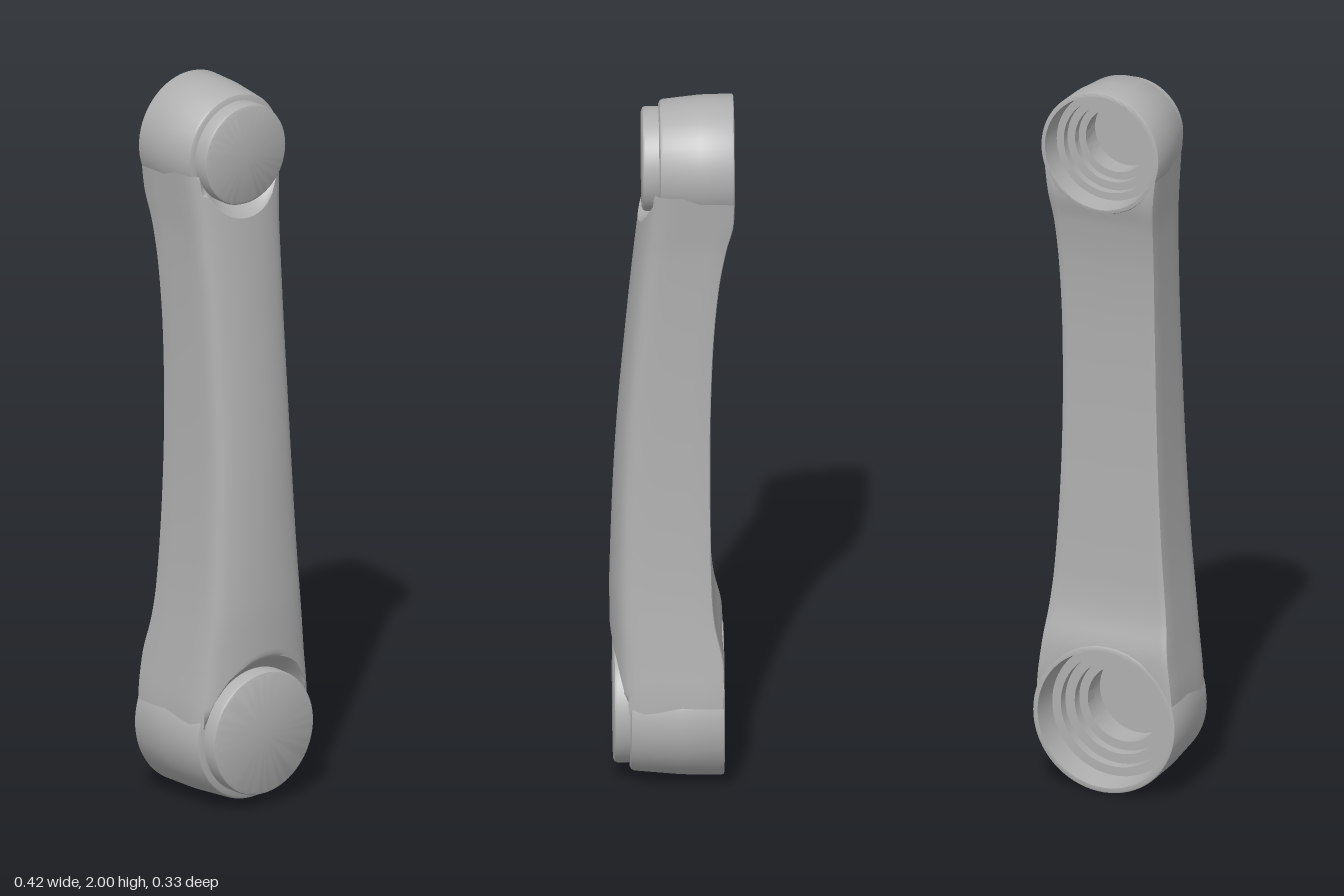
import * as THREE from 'three';
import { toCreasedNormals } from 'three/addons/utils/BufferGeometryUtils.js';

const HUBS = {
  lower: { y: 0.208, back: -0.14, front: 0.112, cap: 0.156, rBack: 0.208, rFront: 0.193, rCap: 0.173 },
  upper: { y: 1.828, back: -0.167, front: 0.034, cap: 0.08, rBack: 0.172, rFront: 0.157, rCap: 0.14 },
};

// Smooth interpolation through [position, value] pairs
function profile(points) {
  const slope = (i) => {
    const a = points[Math.max(i - 1, 0)], b = points[Math.min(i + 1, points.length - 1)];
    return (b[1] - a[1]) / (b[0] - a[0]);
  };
  return (p) => {
    const last = points.length - 1;
    if (p <= points[0][0]) return points[0][1];
    if (p >= points[last][0]) return points[last][1];
    let i = 0;
    while (p > points[i + 1][0]) i++;
    const h = points[i + 1][0] - points[i][0], t = (p - points[i][0]) / h;
    const t2 = t * t, t3 = t2 * t;
    return points[i][1] * (2 * t3 - 3 * t2 + 1) + points[i + 1][1] * (3 * t2 - 2 * t3)
      + h * (slope(i) * (t3 - 2 * t2 + t) + slope(i + 1) * (t3 - t2));
  };
}

// Turned part with its axis along z; profile points are [radius, z]
function turned(points) {
  const g = new THREE.LatheGeometry(points.map(([r, z]) => new THREE.Vector2(r, z)), 72);
  g.rotateX(Math.PI / 2);
  return toCreasedNormals(g, 0.6);
}

// Hollow hub with a stepped socket open at the back
function hubGeometry({ back, front, rBack, rFront }) {
  const d = front - back, b = 0.007;
  return turned([
    [0, front - 0.012], [rBack * 0.56, front - 0.012],
    [rBack * 0.56, back + d * 0.72], [rBack * 0.52, back + d * 0.72],
    [rBack * 0.52, back + d * 0.56], [rBack * 0.64, back + d * 0.56],
    [rBack * 0.64, back + d * 0.44], [rBack * 0.77, back + d * 0.44],
    [rBack * 0.77, back + d * 0.32], [rBack * 0.89, back + d * 0.32],
    [rBack * 0.925, back], [rBack - b, back], [rBack - 0.002, back + 0.002], [rBack, back + b],
    [rBack - 0.002, back + d * 0.45],
    [rFront + 0.002, front - 0.012], [rFront - 0.002, front - 0.004], [rFront - 0.01, front], [0, front],
  ]);
}

// Round cover with a softened rim
function capGeometry({ front, cap, rCap }) {
  return turned([
    [0, front - 0.008], [rCap, front - 0.008], [rCap, cap - 0.011],
    [rCap - 0.003, cap - 0.004], [rCap - 0.011, cap], [0, cap],
  ]);
}

// Arm lofted between the hubs, with scooped ends around the covers
function armGeometry() {
  const width = profile([[0.2, 0.2], [0.3, 0.196], [0.4, 0.184], [0.6, 0.161], [0.8, 0.147], [1.0, 0.139],
    [1.2, 0.136], [1.4, 0.137], [1.6, 0.144], [1.7, 0.154], [1.8, 0.165]]);
  const backZ = profile([[0.25, -0.139], [0.4, -0.137], [0.5, -0.116], [0.6, -0.107], [1.0, -0.102],
    [1.3, -0.109], [1.5, -0.125], [1.62, -0.145], [1.7, -0.164], [1.8, -0.166]]);
  const frontZ = profile([[0.2, 0.16], [0.43, 0.164], [0.6, 0.165], [1.0, 0.149], [1.4, 0.116], [1.66, 0.089], [1.8, 0.072]]);

  // Half section: [share of half width, share of depth] from back corner to crown
  const half = [[0.97, 0], [0.993, 0.008], [1, 0.03], [0.995, 0.2], [0.985, 0.4], [0.975, 0.6], [0.965, 0.71],
    [0.945, 0.79], [0.9, 0.85], [0.83, 0.89], [0.74, 0.92], [0.62, 0.947], [0.5, 0.967], [0.37, 0.983],
    [0.25, 0.992], [0.12, 0.998], [0, 1]];
  const section = [...half, ...half.slice(0, -1).reverse().map(([s, f]) => [-s, f])];
  for (let i = 1; i < 20; i++) section.push([-0.97 + (1.94 * i) / 20, 0]);

  const { lower, upper } = HUBS, rows = 90, n = section.length;
  const reach = (r, x) => Math.sqrt(Math.max(r * r - x * x, 0.0016));
  const position = [], index = [];
  for (let j = 0; j <= rows; j++) {
    const v = 0.5 - 0.5 * Math.cos((Math.PI * j) / rows);
    for (const [s, f] of section) {
      const k = THREE.MathUtils.smoothstep(f, 0.6, 0.86);
      const rLow = THREE.MathUtils.lerp(0.194, 0.16, k), rUp = THREE.MathUtils.lerp(0.161, 0.125, k);
      let y = 0.3 + 1.4 * v, x = 0;
      for (let i = 0; i < 8; i++) {
        x = s * width(y);
        y = THREE.MathUtils.lerp(lower.y + reach(rLow, x), upper.y - reach(rUp, x), v);
      }
      const scoopLow = 0.1 + Math.max(0, Math.hypot(x, y - lower.y) - 0.163) * 1.1;
      const scoopUp = 0.027 + Math.max(0, Math.hypot(x, y - upper.y) - 0.13) * 1.5;
      const z = THREE.MathUtils.lerp(backZ(y), frontZ(y), f);
      position.push(x, y, Math.min(z, scoopLow, scoopUp));
    }
  }
  for (let j = 0; j < rows; j++) {
    for (let i = 0; i < n; i++) {
      const a = j * n + i, c = j * n + ((i + 1) % n);
      index.push(a, a + n, c, c, a + n, c + n);
    }
  }
  const g = new THREE.BufferGeometry();
  g.setAttribute('position', new THREE.Float32BufferAttribute(position, 3));
  g.setIndex(index);
  return toCreasedNormals(g, 0.6);
}

export function createModel() {
  const group = new THREE.Group();
  group.name = 'armLink';
  const grey = new THREE.MeshStandardMaterial({ color: 0xb0b0b0 });
  grey.name = 'grey';

  const add = (name, geometry, y = 0) => {
    const mesh = new THREE.Mesh(geometry, grey);
    mesh.name = name;
    mesh.position.y = y;
    group.add(mesh);
  };

  add('arm', armGeometry());
  for (const [name, hub] of Object.entries(HUBS)) {
    add(name + 'Hub', hubGeometry(hub), hub.y);
    add(name + 'Cap', capGeometry(hub), hub.y);
  }
  return group;
}
